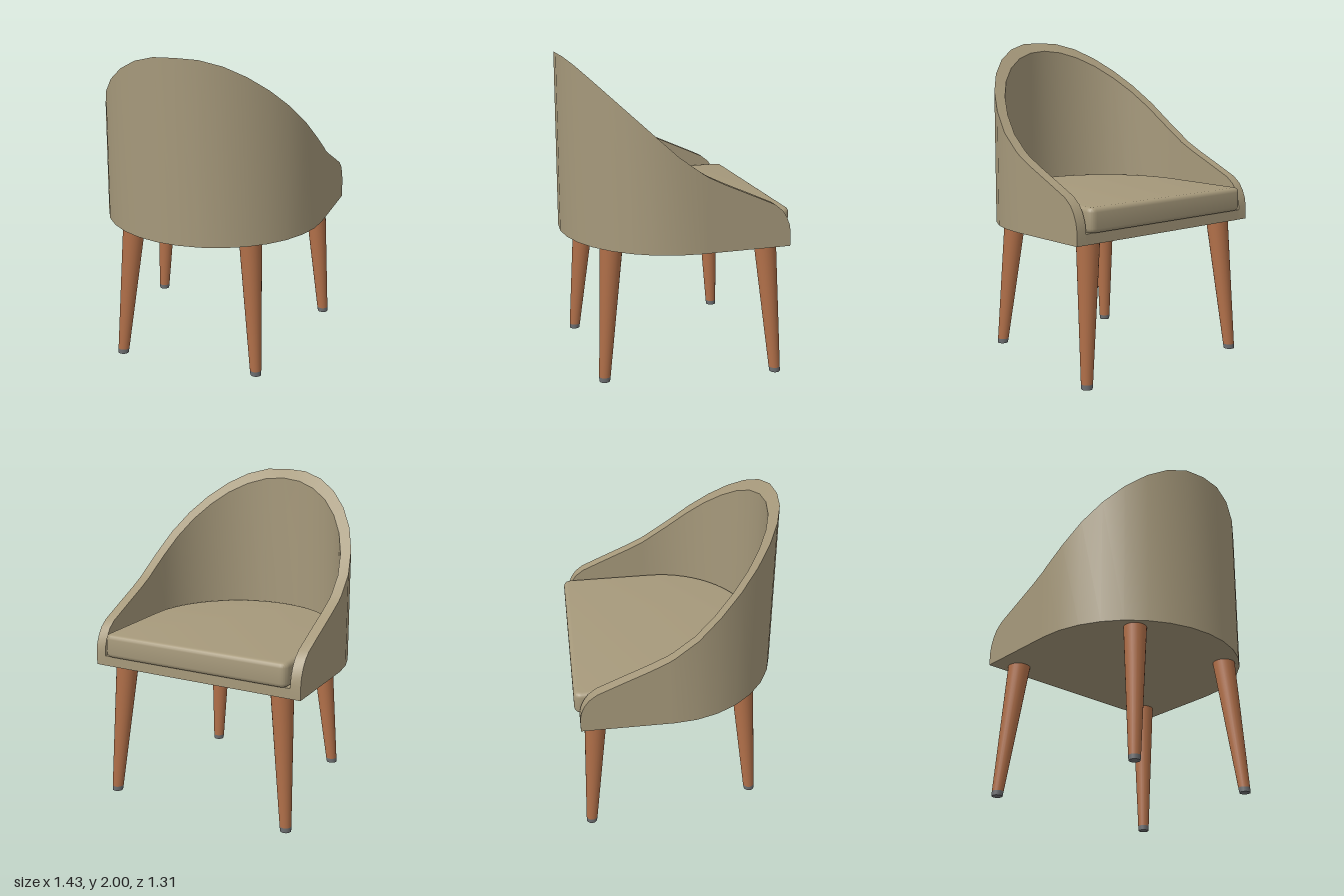
import * as THREE from 'three';
import { toCreasedNormals } from 'three/addons/utils/BufferGeometryUtils.js';

const BOTTOM = 0.865, FRONT = -0.628, ARC_Z = -0.058, R_OUT = 0.713, R_IN = 0.647;

// Rim height along the depth of the chair: [z, y]
const RIM = [[FRONT, 0.95], [-0.62, 1.0], [-0.6, 1.05], [-0.57, 1.095], [-0.52, 1.135], [-0.4, 1.19],
  [-0.2, 1.28], [-0.1, 1.33], [0, 1.395], [0.1, 1.475], [0.2, 1.57], [0.4, 1.76], [0.6, 1.957], [0.64, 1.993], [0.656, 2]];

function rimHeight(z) {
  for (let i = 1; i < RIM.length; i++) {
    const [z0, y0] = RIM[i - 1], [z1, y1] = RIM[i];
    if (z <= z1) return y0 + (y1 - y0) * (z - z0) / (z1 - z0);
  }
  return 2;
}

// U-shaped plan, straight at the seat front and round at the back
function planShape(r, front, corner) {
  const s = new THREE.Shape();
  s.moveTo(r - corner, front);
  if (corner) s.quadraticCurveTo(r, front, r, front + corner);
  s.lineTo(r, ARC_Z);
  s.absarc(0, ARC_Z, r, 0, Math.PI, false);
  s.lineTo(-r, front + corner);
  if (corner) s.quadraticCurveTo(-r, front, -r + corner, front);
  return s;
}

// Wrap-around wall: a four-cornered section swept along the U
function shellGeometry() {
  const side = RIM.filter(p => p[0] < ARC_Z).map(p => p[0]);
  const path = side.map(z => [1, 0, z]);
  for (let i = 0; i <= 16; i++) {
    const a = Math.PI * i / 16;
    path.push([Math.cos(a), Math.sin(a), ARC_Z]);
  }
  path.push(...side.slice().reverse().map(z => [-1, 0, z]));
  const pos = [], idx = [];
  path.forEach(([c, s, z]) => {
    const zo = z + s * R_OUT, zi = z + s * R_IN;
    pos.push(c * R_OUT, BOTTOM, zo, c * R_OUT, rimHeight(zo), zo,
      c * R_IN, rimHeight(zi), zi, c * R_IN, BOTTOM, zi);
  });
  for (let i = 0; i < path.length - 1; i++) {
    for (let k = 0; k < 4; k++) {
      const a = i * 4 + k, b = i * 4 + (k + 1) % 4;
      idx.push(a, b, b + 4, a, b + 4, a + 4);
    }
  }
  const e = (path.length - 1) * 4;
  idx.push(0, 2, 1, 0, 3, 2, e, e + 1, e + 2, e, e + 2, e + 3);
  const g = new THREE.BufferGeometry();
  g.setAttribute('position', new THREE.Float32BufferAttribute(pos, 3));
  g.setIndex(idx);
  return toCreasedNormals(g, 0.55);
}

// Tapered round piece with level ends, leaning from point a (bottom) to b (top)
function leaningCone(a, b, ra, rb) {
  const h = b.y - a.y;
  const g = new THREE.CylinderGeometry(rb, ra, h, 24);
  g.translate(0, h / 2, 0);
  const p = g.attributes.position;
  for (let i = 0; i < p.count; i++) {
    const t = p.getY(i) / h;
    p.setXYZ(i, p.getX(i) + a.x + (b.x - a.x) * t, p.getY(i) + a.y, p.getZ(i) + a.z + (b.z - a.z) * t);
  }
  return g;
}

export function createModel() {
  const model = new THREE.Group();
  model.name = 'tubChair';
  const mat = (name, color) => {
    const m = new THREE.MeshStandardMaterial({ color });
    m.name = name;
    return m;
  };
  const fabric = mat('beigeFabric', 0xa6997b);
  const wood = mat('wood', 0xb3714a);
  const metal = mat('greyFoot', 0x6f7173);
  const add = (name, geometry, material) => {
    const mesh = new THREE.Mesh(geometry, material);
    mesh.name = name;
    model.add(mesh);
  };

  // Backrest and arms in one shell
  add('backrestShell', shellGeometry(), fabric);

  // Seat base closing the shell underneath
  const base = new THREE.ExtrudeGeometry(planShape(R_IN, FRONT, 0),
    { depth: 0.065, bevelEnabled: false, curveSegments: 16 });
  base.rotateX(Math.PI / 2).translate(0, BOTTOM + 0.065, 0);
  add('seatBase', base, fabric);

  // Cushion with rounded edges
  const bevel = 0.028;
  const cushion = new THREE.ExtrudeGeometry(planShape(0.633 - bevel, -0.657 + bevel, 0.02), {
    depth: 0.15 - 2 * bevel, bevelThickness: bevel, bevelSize: bevel, bevelSegments: 4, curveSegments: 16 });
  cushion.rotateX(Math.PI / 2).translate(0, 1.08 - bevel, 0);
  add('cushion', toCreasedNormals(cushion, 0.6), fabric);

  // Splayed legs with grey feet: bottom and top centres
  const legs = [['front', 0.615, -0.595, 0.548, -0.527], ['back', 0.455, 0.485, 0.387, 0.415]];
  for (const [name, x0, z0, x1, z1] of legs) {
    for (const s of [1, -1]) {
      const foot = new THREE.Vector3(s * x0, 0, z0);
      const top = new THREE.Vector3(s * x1, BOTTOM + 0.005, z1);
      const joint = foot.clone().lerp(top, 0.035);
      const label = name + (s > 0 ? 'Left' : 'Right');
      add(label + 'Leg', leaningCone(joint, top, 0.036, 0.071), wood);
      add(label + 'Foot', leaningCone(foot, joint, 0.034, 0.036), metal);
    }
  }
  return model;
}
